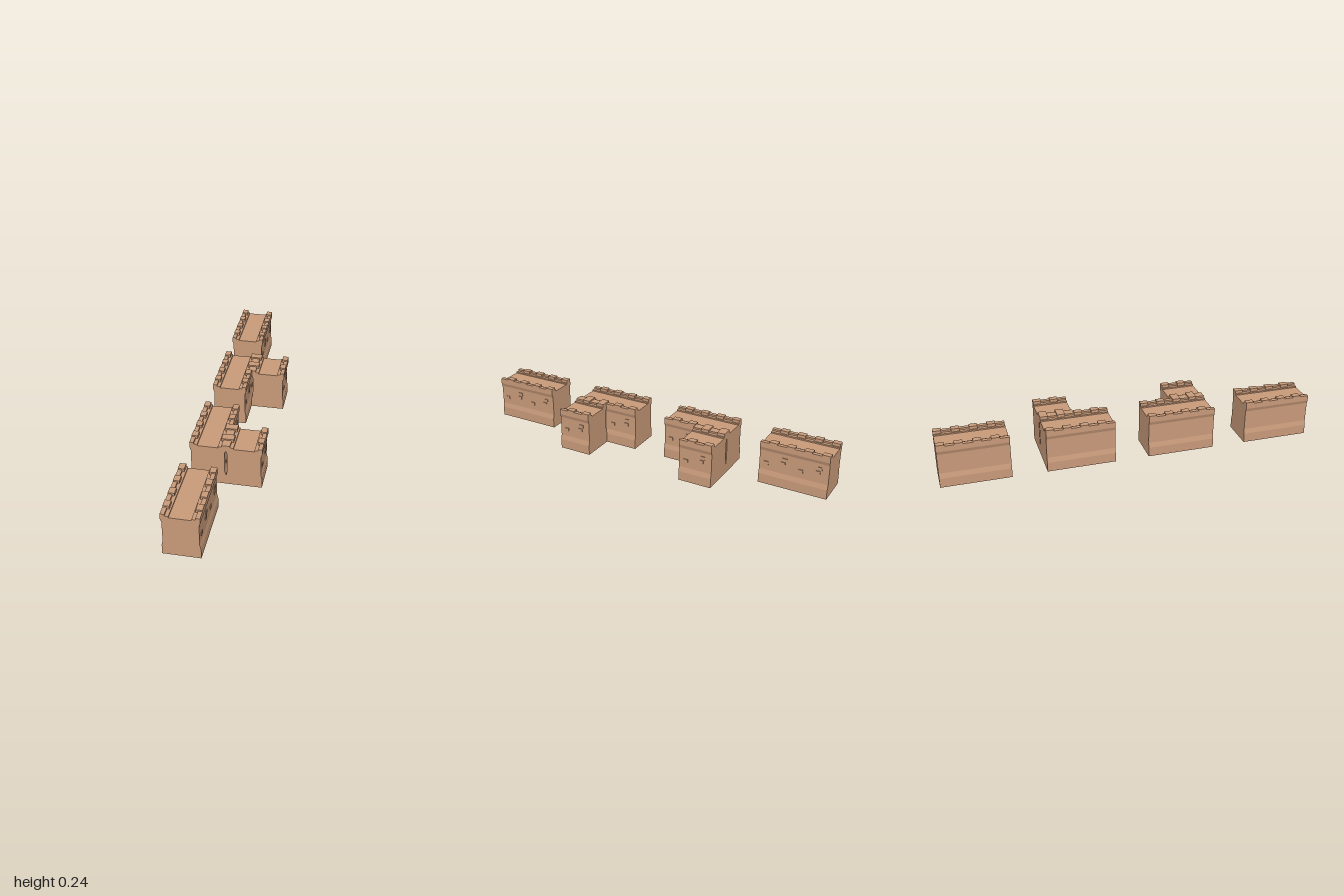
import * as THREE from 'three';

const T = 2 / 11; // tile size; everything sits on this module

export function createModel() {
  const model = new THREE.Group();
  model.name = 'castleWalls';
  const stone = new THREE.MeshStandardMaterial({ color: 0xc99b7a });
  stone.name = 'sandstone';

  const add = (parent, geometry, name, x, y, z) => {
    const mesh = new THREE.Mesh(geometry, stone);
    mesh.name = name;
    mesh.position.set(x, y, z);
    parent.add(mesh);
  };

  // Wall cross-section: flared foot, flared parapet, stepped walkway
  const h = T / 2;
  const half = [
    [h, 0], [h, 0.051], [h - 0.006, 0.078], [h - 0.006, 0.185], [h, 0.203],
    [h, 0.232], [h - 0.021, 0.232], [h - 0.021, 0.223], [h - 0.039, 0.223], [h - 0.039, 0.216],
  ];
  const outline = [...half, ...half.map(([x, y]) => [-x, y]).reverse()];
  const profile = new THREE.Shape(outline.map(([x, y]) => new THREE.Vector2(x, y)));

  const merlon = new THREE.BoxGeometry(0.031, 0.016, 0.042);
  const brick = new THREE.BoxGeometry(0.006, 0.017, 0.023);
  // Raised bricks: distance back from the tile's front end, height
  const bricks = [[0.038, 0.118], [0.134, 0.158], [0.126, 0.135]];

  // A straight wall of n tiles running back from zFront
  function wall(name, x, zFront, n) {
    const g = new THREE.Group();
    g.name = name;
    g.position.set(x, 0, zFront);
    const body = new THREE.ExtrudeGeometry(profile, { depth: n * T, bevelEnabled: false });
    add(g, body, 'wallBody', 0, 0, -n * T);
    for (let i = 0; i < n; i++) {
      for (const side of [-1, 1]) {
        for (const k of [0.5, 1]) {
          add(g, merlon, 'merlon', side * (h - 0.0155), 0.231, -(i + k) * T + 0.021);
        }
      }
      for (const [d, y] of bricks) add(g, brick, 'raisedBrick', h - 0.005, y, -i * T - d);
    }
    model.add(g);
  }

  // Four long walls in a row
  [5.5, 2.5, -0.5, -3.5].forEach((t, i) => wall('longWall' + (i + 1), -h, t * T, 2));
  // Short walls turning two of them into corners
  wall('cornerWallFront', h, 2.5 * T, 1);
  wall('cornerWallBack', h, -1.5 * T, 1);

  return model;
}
